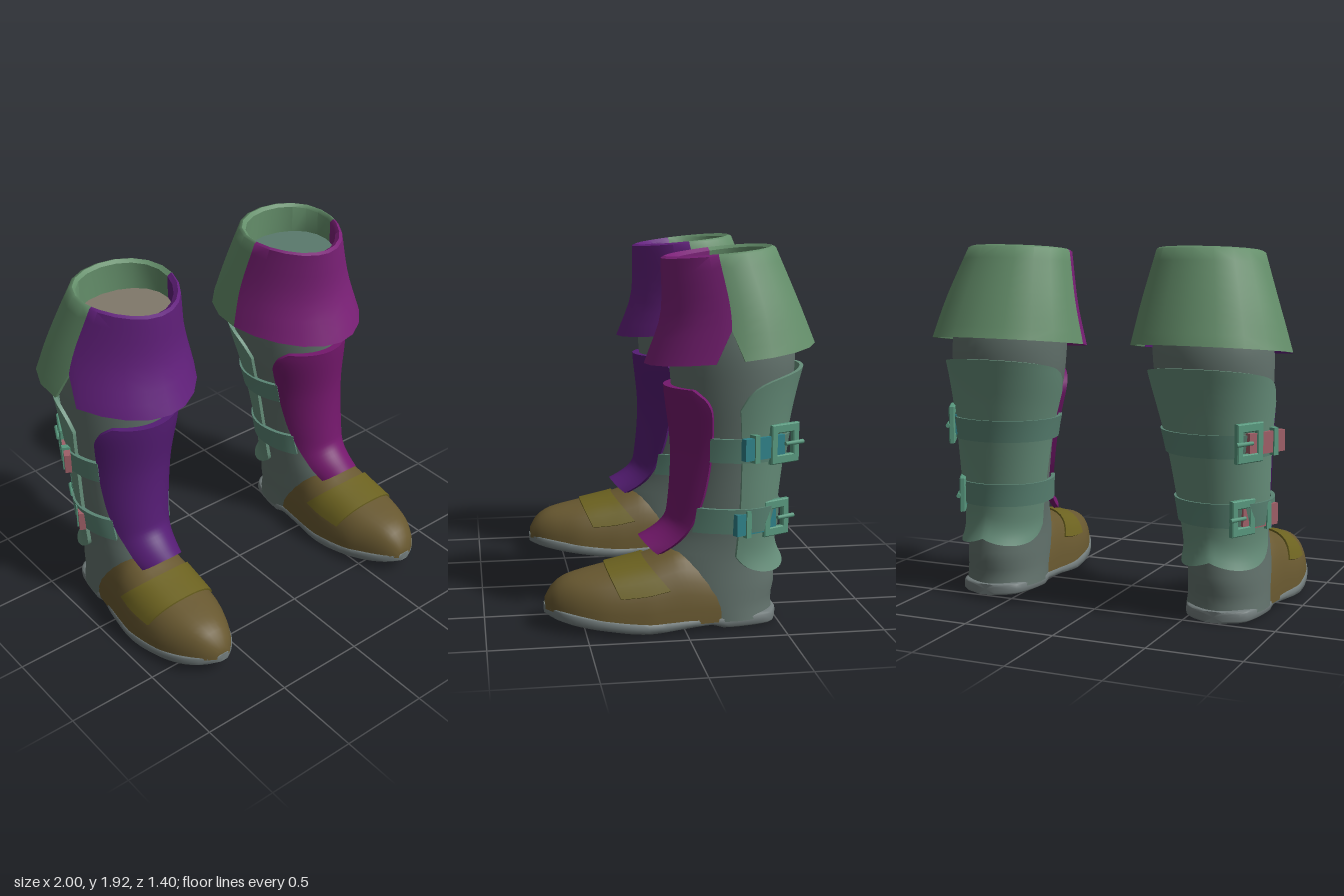
import * as THREE from 'three';
import { toCreasedNormals } from 'three/addons/utils/BufferGeometryUtils.js';

const lerp = THREE.MathUtils.lerp;
const rad = THREE.MathUtils.degToRad;
const range = (n, f) => Array.from({ length: n + 1 }, (_, i) => f(i / n, i));

// Colours shared by both boots, then those that differ per boot
const COLOR = {
  cuffBack: 0x648e6a, leg: 0x62726c, foot: 0x685830, instep: 0x6c6220,
  sole: 0x727c7c, calf: 0x668e7a, strap: 0x5a8474, buckle: 0x58987e,
};
const LEFT = { cuffFront: 0x7a2076, shin: 0x74186c, strapEnd: 0x2f8088, floor: 0x5a7a6c };
const RIGHT = { cuffFront: 0x62207c, shin: 0x551c74, strapEnd: 0xa06068, floor: 0x80786a };

// Smooth lookup in a table whose rows are [key, ...values]
function at(table, k) {
  const n = table.length;
  let i = 0;
  while (i < n - 2 && k > table[i + 1][0]) i++;
  const a = table[i], b = table[i + 1], h = b[0] - a[0];
  const t = THREE.MathUtils.clamp((k - a[0]) / h, 0, 1);
  const slope = (j, c) => {
    const p = table[Math.max(j - 1, 0)], q = table[Math.min(j + 1, n - 1)];
    return (q[c] - p[c]) / (q[0] - p[0]) * h;
  };
  return a.slice(1).map((v, j) => {
    const c = j + 1, t2 = t * t, t3 = t2 * t;
    return (2 * t3 - 3 * t2 + 1) * v + (t3 - 2 * t2 + t) * slope(i, c)
      + (3 * t2 - 2 * t3) * b[c] + (t3 - t2) * slope(i + 1, c);
  });
}

function mesh(name, color, geometry, x = 0, y = 0, z = 0) {
  const m = new THREE.Mesh(geometry, new THREE.MeshStandardMaterial({ color, side: THREE.DoubleSide }));
  m.name = name;
  m.position.set(x, y, z);
  return m;
}

// Skin over rows of points; each row is a ring, or an open strip
function loft(name, color, rows, closed = true) {
  const n = rows[0].length, index = [];
  for (let j = 0; j < rows.length - 1; j++) {
    for (let i = 0; i < (closed ? n : n - 1); i++) {
      const a = j * n + i, b = j * n + (i + 1) % n;
      index.push(a, b, b + n, a, b + n, a + n);
    }
  }
  const g = new THREE.BufferGeometry();
  g.setAttribute('position', new THREE.Float32BufferAttribute(rows.flat(2), 3));
  g.setIndex(index);
  return mesh(name, color, toCreasedNormals(g, 0.8));
}

// Row collapsed to the middle of a ring, to close an end
function capOf(ring) {
  const mid = [0, 1, 2].map(c => ring.reduce((s, p) => s + p[c], 0) / ring.length);
  return ring.map(() => mid);
}

// Thick sheet lying on a surface: surf(s, t, lift), s in -1..1, t and lift in 0..1
function panel(name, color, surf, ns, nt) {
  const row = (t, lift) => [
    ...range(ns, u => surf(u * 2 - 1, t, lift)),
    ...range(ns, u => surf(1 - u * 2, t, 0)),
  ];
  return loft(name, color, [row(0, 0), ...range(nt, t => row(t, 1)), row(1, 0)]);
}

// Egg-shaped point around the leg, angle 0 at the front; k narrows the front
function egg(a, y, [x0, x1, z0, z1], d = 0, k = 0.12) {
  const s = Math.sin(a), c = Math.cos(a);
  return [(x0 + x1) / 2 + ((x1 - x0) / 2 + d) * s * (1 - k * c), y,
    (z0 + z1) / 2 + ((z1 - z0) / 2 + d) * c];
}

// Leg: height, inner x, outer x, back z, front z
const LEG = [
  [0.04, 0.445, 0.88, -0.487, 0.08], [0.11, 0.45, 0.875, -0.478, 0.11], [0.2, 0.45, 0.87, -0.495, 0.13],
  [0.35, 0.45, 0.86, -0.485, 0.11], [0.45, 0.44, 0.86, -0.48, 0.06], [0.6, 0.42, 0.87, -0.49, 0.02],
  [0.9, 0.37, 0.88, -0.53, 0], [1.2, 0.3, 0.9, -0.585, 0.03], [1.4, 0.28, 0.9, -0.6, 0.04],
  [1.62, 0.28, 0.86, -0.55, 0.02],
];
const leg = (y, a, d = 0) => egg(a, y, at(LEG, y), d);

// Foot and sole: z, inner x, outer x, bottom y, top y
const FOOT = [
  [-0.2, 0.46, 0.875, 0.04, 0.34], [0, 0.443, 0.905, 0.04, 0.41], [0.1, 0.436, 0.918, 0.04, 0.385],
  [0.2, 0.435, 0.925, 0.04, 0.35], [0.4, 0.46, 0.905, 0.06, 0.305], [0.52, 0.505, 0.865, 0.08, 0.28],
  [0.6, 0.545, 0.82, 0.09, 0.255], [0.66, 0.588, 0.77, 0.1, 0.21], [0.695, 0.63, 0.715, 0.1, 0.15],
];
const SOLE = [
  [-0.495, 0.61, 0.72, 0, 0.06], [-0.475, 0.55, 0.785, 0, 0.065], [-0.42, 0.49, 0.84, 0, 0.07],
  [-0.2, 0.445, 0.88, 0, 0.07], [-0.14, 0.45, 0.88, 0.018, 0.07], [0, 0.44, 0.91, 0.015, 0.07],
  [0.2, 0.43, 0.93, 0, 0.07], [0.4, 0.455, 0.91, 0.02, 0.09], [0.55, 0.51, 0.86, 0.04, 0.11],
  [0.65, 0.575, 0.785, 0.06, 0.12], [0.7, 0.64, 0.7, 0.075, 0.12],
];
const power = (v, e) => Math.sign(v) * Math.abs(v) ** e;
function foot(z, p, d = 0) {
  const [x0, x1, y0, y1] = at(FOOT, z);
  return [(x0 + x1) / 2 + ((x1 - x0) / 2 + d) * power(Math.cos(p), 0.8),
    y0 + (y1 - y0 + d) * Math.max(0, Math.sin(p)) ** 0.9, z];
}
function sole(z, p) {
  const [x0, x1, y0, y1] = at(SOLE, z);
  return [(x0 + x1) / 2 + (x1 - x0) / 2 * power(Math.cos(p), 0.35),
    (y0 + y1) / 2 + (y1 - y0) / 2 * power(Math.sin(p), 0.35), z];
}
const around = (n, f) => range(n - 1, (_, i) => f(i / n * Math.PI * 2));

// Cuff: position up the side, front y, back y, inner x, outer x, back z, front z
const CUFF = [
  [0, 1.33, 1.44, 0.17, 1, -0.7, 0.17], [0.45, 1.57, 1.65, 0.215, 0.93, -0.615, 0.085],
  [1, 1.855, 1.912, 0.273, 0.83, -0.505, 0.08],
];
const NOTCH = 81;
function cuffPoint(deg, [front, back, ...box], d = 0) {
  const a = rad(deg);
  return egg(a, lerp(back, front, (Math.cos(a) + 1) / 2), box, d, 0.17);
}

// Part of the flared cuff with turned-in lip; its edge rises at the notch
function cuff(name, color, angles) {
  const side = (t, d) => angles.map(a =>
    cuffPoint(a, at(CUFF, a % 360 === NOTCH ? lerp(0.3, 1, t) : t), d));
  const ring = row => angles.map(a => cuffPoint(a, row));
  return loft(name, color, [
    side(0.5, -0.025), side(0.25, -0.025), side(0, -0.02), ...range(8, t => side(t, 0)),
    ring([1.865, 1.92, 0.285, 0.815, -0.485, 0.06]),
    ring([1.845, 1.905, 0.305, 0.8, -0.465, 0.03]),
    ring([1.73, 1.73, 0.305, 0.8, -0.465, 0.03]),
  ], false);
}

// Shin guard: half angle by height, lower lip curling forward
const SHIN = [[0, 30], [0.06, 38], [0.18, 48], [0.4, 58], [0.85, 63], [0.94, 58], [1, 45]];
function shin(s, t, lift) {
  const y = lerp(0.38 + 0.07 * Math.cos(s * Math.PI / 2), 1.22, t);
  const curl = 0.11 * Math.max(0, 1 - t / 0.16) ** 2 * (1 - 0.5 * s * s);
  return leg(y, s * rad(at(SHIN, t)[0]), curl + (0.045 - 0.012 * s * s) * lift - 0.005);
}

// Calf guard: arched top, rounded corners, lower edge flaring at the back
function calf(s, t, lift) {
  const bottom = 0.325 - 0.04 * (1 - (2 * Math.abs(s) - 1) ** 2) + 0.05 * s ** 8;
  const y = lerp(bottom, 1.32 - 0.09 * s * s - 0.1 * s ** 10, t);
  const flare = 0.03 * Math.max(0, 1 - t / 0.12) ** 2 + 0.025 * Math.max(0, (t - 0.75) / 0.25) ** 2;
  return leg(y, Math.PI + s * rad(lerp(78, 92, t)), flare * (1 - s * s) + 0.02 * lift);
}

// Panel over the instep, rear edge swept back at the sides
function instep(s, t, lift) {
  return foot(lerp(0.2 - 0.12 * s * s, 0.39 - 0.06 * s * s, t), Math.PI / 2 + s * rad(62), 0.01 * lift);
}

// Buckle with frame, prong, keeper and loose strap end
function buckle(endColor, x, y, z, w, h) {
  const g = new THREE.Group();
  g.name = 'buckle';
  const rect = (P, a, b) => new P([[-a, -b], [a, -b], [a, b], [-a, b]].map(p => new THREE.Vector2(...p)));
  const shape = rect(THREE.Shape, w / 2, h / 2);
  shape.holes.push(rect(THREE.Path, w / 2 - 0.03, h / 2 - 0.035));
  const frame = new THREE.ExtrudeGeometry(shape, {
    depth: 0.02, bevelSize: 0.005, bevelThickness: 0.006, bevelSegments: 1,
  });
  const prong = mesh('prong', COLOR.buckle, new THREE.CylinderGeometry(0.01, 0.012, w / 2 + 0.03, 8), 0.05, 0, 0.03);
  prong.rotation.z = Math.PI / 2;
  g.add(
    mesh('buckleFrame', COLOR.buckle, frame),
    prong,
    mesh('looseStrapEnd', endColor, new THREE.BoxGeometry(0.25, 0.11, 0.035), -0.125, -0.01, 0),
    mesh('keeper', COLOR.buckle, new THREE.BoxGeometry(0.03, 0.14, 0.05), -0.18, -0.01, 0),
  );
  g.position.set(x, y, z);
  g.rotation.y = 2.04;
  return g;
}

function boot(name, tint) {
  const g = new THREE.Group();
  g.name = name;
  const footRows = range(28, t => around(32, p => foot(lerp(-0.2, 0.695, t), p)));
  const soleRows = range(40, t => around(32, p => sole(lerp(-0.495, 0.7, t), p)));
  const floor = around(24, a => egg(a, 1.75, [0.3, 0.805, -0.47, 0.035], 0, 0.17));
  g.add(
    loft('leg', COLOR.leg, range(32, t => around(40, a => leg(lerp(0.04, 1.62, t), a)))),
    loft('foot', COLOR.foot, [...footRows, capOf(footRows.at(-1))]),
    loft('sole', COLOR.sole, [capOf(soleRows[0]), ...soleRows, capOf(soleRows.at(-1))]),
    loft('bootFloor', tint.floor, [floor, capOf(floor)]),
    cuff('cuffBack', COLOR.cuffBack, [NOTCH, ...range(10, (_, i) => 90 + 18 * i)]),
    cuff('cuffFront', tint.cuffFront, [...range(9, (_, i) => 270 + 18 * i), NOTCH + 360]),
    panel('shinGuard', tint.shin, shin, 20, 40),
    panel('calfGuard', COLOR.calf, calf, 28, 32),
    panel('instepPanel', COLOR.instep, instep, 16, 6),
  );
  // Straps round the back of the leg, over the calf guard and up to the shin guard
  for (const [y, h, half] of [[0.925, 0.12, 119], [0.565, 0.125, 128]]) {
    g.add(panel('strap', COLOR.strap, (s, t, lift) =>
      leg(y + (t - 0.5) * h, Math.PI + s * rad(half), 0.01 + 0.022 * lift), 40, 2));
  }
  g.add(
    buckle(tint.strapEnd, 0.84, 0.95, -0.495, 0.17, 0.19),
    buckle(tint.strapEnd, 0.8, 0.56, -0.465, 0.15, 0.175),
  );
  return g;
}

export function createModel() {
  const model = new THREE.Group();
  model.name = 'boots';
  const right = boot('rightBoot', RIGHT);
  right.scale.x = -1;
  model.add(boot('leftBoot', LEFT), right);
  return model;
}
